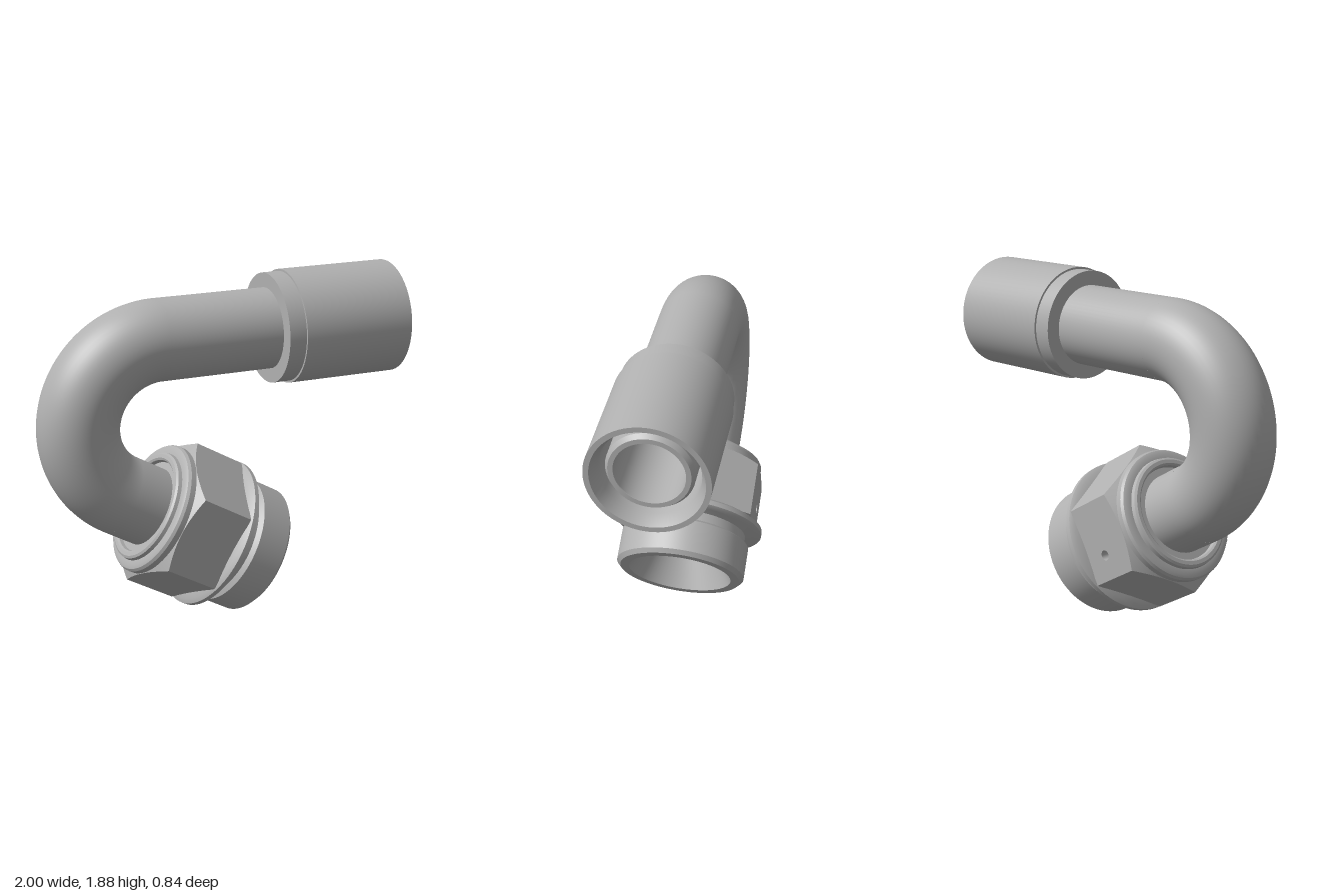
import * as THREE from 'three';
import { toCreasedNormals } from 'three/addons/utils/BufferGeometryUtils.js';

const steel = new THREE.MeshStandardMaterial({ color: 0xb0b0b0, side: THREE.DoubleSide });
steel.name = 'steel';

const BEND = 0.443, TOP_Y = 1.58, BEND_X = -0.34;
const BEND_ANGLE = THREE.MathUtils.degToRad(150);

function add(parent, name, geometry) {
  const mesh = new THREE.Mesh(geometry, steel);
  mesh.name = name;
  parent.add(mesh);
  return mesh;
}

// Turned part from [radius, distance along axis] pairs
function turned(parent, name, profile) {
  const pts = profile.map(([r, s]) => new THREE.Vector2(r, s));
  return add(parent, name, toCreasedNormals(new THREE.LatheGeometry(pts, 72), 0.45));
}

// Open straight pipe along local y
function pipe(parent, name, radius, from, to) {
  const g = new THREE.CylinderGeometry(radius, radius, to - from, 64, 1, true);
  return add(parent, name, g.translate(0, (from + to) / 2, 0));
}

// Pipe bend through 150 degrees
function bend(parent, name, radius) {
  const mesh = add(parent, name, new THREE.TorusGeometry(BEND, radius, 48, 72, BEND_ANGLE));
  mesh.position.set(BEND_X, TOP_Y - BEND, 0);
  mesh.rotation.z = Math.PI / 2;
}

// Hexagon with a scalloped chamfer at its rear and a pin hole in one flat
function hexNut(parent) {
  const flat = 0.363, rear = 0.238, front = 0.572, n = 16, holeFlat = 4;
  const row = (k, j) => {
    const off = (j / n - 0.5) * Math.PI / 3;
    const a = (k + 0.5) * Math.PI / 3 + off;
    const r = flat / Math.cos(off);
    const at = (rad, s) => [rad * Math.cos(a), s, rad * Math.sin(a)];
    return [at(0.36, rear), at(r, rear + (r - 0.36) * 0.6), at(r, front), at(0.33, front)];
  };
  const pos = [];
  for (let k = 0; k < 6; k++) {
    for (let j = 0; j < n; j++) {
      const p = row(k, j), q = row(k, j + 1);
      for (let i = 0; i < 3; i++) {
        if (k === holeFlat && i === 1) continue;
        pos.push(...p[i], ...p[i + 1], ...q[i + 1], ...p[i], ...q[i + 1], ...q[i]);
      }
    }
  }
  const g = new THREE.BufferGeometry();
  g.setAttribute('position', new THREE.Float32BufferAttribute(pos, 3));
  add(parent, 'hexNut', toCreasedNormals(g, 0.3));

  // Flat with the pin hole
  const outline = [];
  for (let j = 0; j <= n; j++) {
    const v = row(holeFlat, j)[1];
    outline.push(new THREE.Vector2(v[0], v[1]));
  }
  const w = outline[n].x;
  outline.push(new THREE.Vector2(w, front), new THREE.Vector2(-w, front));
  const shape = new THREE.Shape(outline);
  const hx = 0.08, hs = 0.43, hr = 0.027;
  shape.holes.push(new THREE.Path().absarc(-hx, hs, hr, 0, Math.PI * 2, true));
  add(parent, 'hexFlatWithHole', new THREE.ShapeGeometry(shape, 24).rotateY(Math.PI).translate(0, 0, -flat));
  const wall = new THREE.CylinderGeometry(hr, hr, 0.06, 24, 1, true).rotateX(Math.PI / 2);
  add(parent, 'pinHoleWall', wall.translate(hx, hs, -flat + 0.03));
  const floor = new THREE.CircleGeometry(hr, 24).rotateY(Math.PI);
  add(parent, 'pinHoleFloor', floor.translate(hx, hs, -flat + 0.06));
}

export function createModel() {
  const model = new THREE.Group();
  model.name = 'hoseFitting';

  // Bent pipe, outside and bore
  bend(model, 'pipeBend', 0.217);
  bend(model, 'boreBend', 0.175);

  // Upper straight with the hose socket, local y runs along +x
  const upper = new THREE.Group();
  upper.name = 'socketEnd';
  upper.position.set(0, TOP_Y, 0);
  upper.rotation.z = -Math.PI / 2;
  model.add(upper);
  pipe(upper, 'upperPipe', 0.217, BEND_X, 0.5);
  pipe(upper, 'upperBore', 0.175, BEND_X, 0.94);
  turned(upper, 'socketCollar', [[0.21, 0.285], [0.295, 0.285], [0.295, 0.38], [0.306, 0.38]]);
  turned(upper, 'socketSleeve', [
    [0.306, 0.38], [0.306, 1], [0.278, 1], [0.248, 0.93], [0.248, 0.5], [0.21, 0.5],
  ]);
  turned(upper, 'innerNipple', [
    [0.217, 0.5], [0.217, 0.92], [0.2, 0.945], [0.175, 0.945],
  ]);

  // Lower straight with the nut and threaded end, local y runs along the pipe
  const lower = new THREE.Group();
  lower.name = 'threadedEnd';
  const a = Math.PI / 2 + BEND_ANGLE;
  lower.position.set(BEND_X + BEND * Math.cos(a), TOP_Y - BEND + BEND * Math.sin(a), 0);
  lower.rotation.z = BEND_ANGLE - Math.PI * 1.5 - Math.PI / 2 + Math.PI * 0.5;
  lower.rotation.z = -Math.PI * 2 / 3;
  model.add(lower);
  pipe(lower, 'lowerPipe', 0.217, 0, 0.3);
  pipe(lower, 'lowerBore', 0.175, 0, 0.68);
  turned(lower, 'rearCollar', [
    [0.21, 0.185], [0.255, 0.185], [0.26, 0.165], [0.27, 0.157], [0.29, 0.157], [0.302, 0.165],
    [0.306, 0.185], [0.335, 0.185], [0.352, 0.192], [0.361, 0.207], [0.361, 0.24],
  ]);
  hexNut(lower);
  turned(lower, 'flange', [
    [0.35, 0.56], [0.395, 0.57], [0.418, 0.585], [0.418, 0.61], [0.405, 0.618], [0.375, 0.622], [0.33, 0.632],
  ]);
  turned(lower, 'threadedBody', [
    [0.33, 0.62], [0.33, 0.68], [0.357, 0.698], [0.357, 0.873], [0.335, 0.895],
    [0.287, 0.895], [0.175, 0.68],
  ]);
  return model;
}
